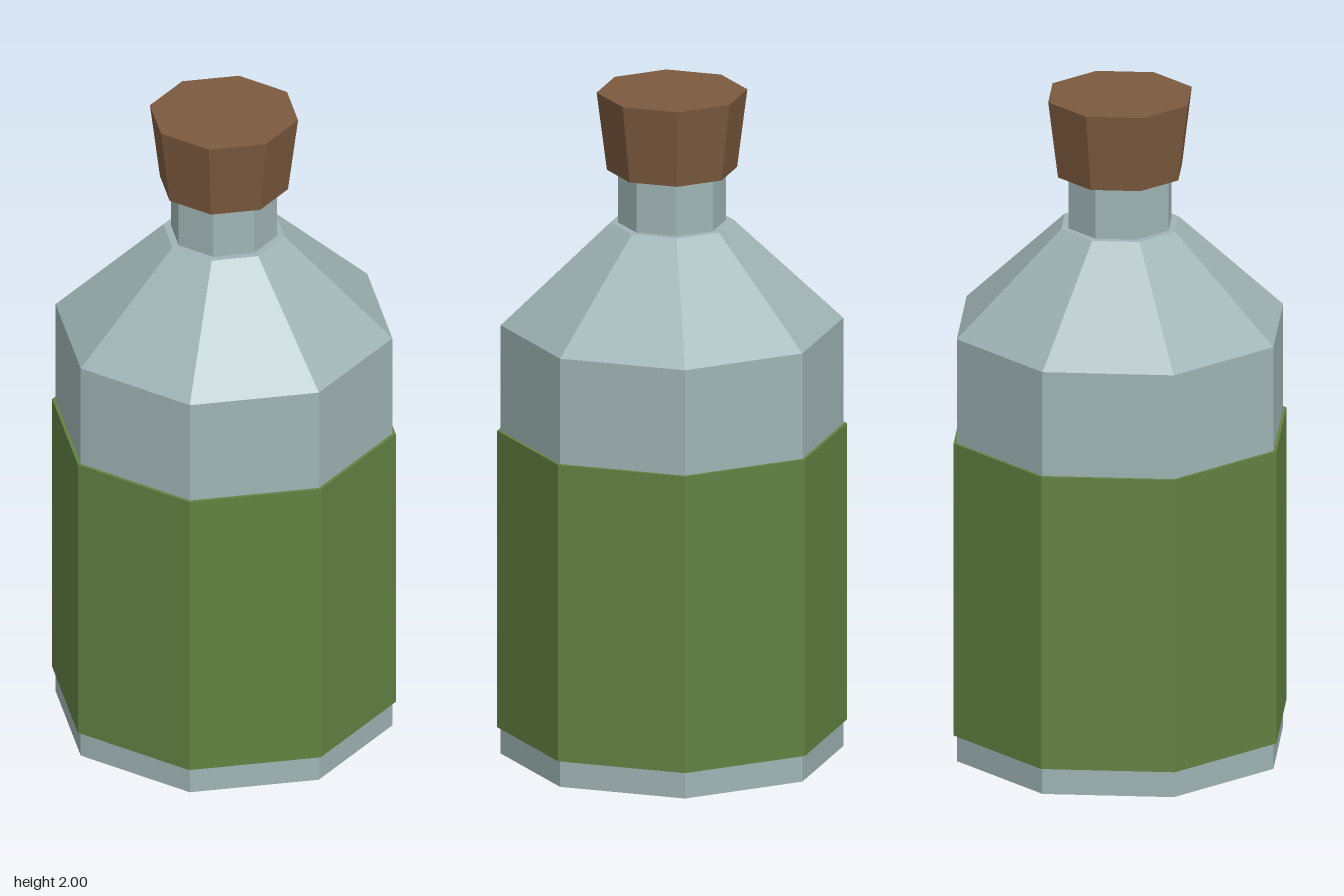
import * as THREE from 'three';

const SIDES = 8;

function material(name, color) {
  const m = new THREE.MeshStandardMaterial({ color, flatShading: true });
  m.name = name;
  return m;
}

export function createModel() {
  const glass = material('glass', 0xa0b4b5);
  const label = material('label green', 0x638142);
  const cork = material('cork brown', 0x7c5a3e);

  const bottle = new THREE.Group();
  bottle.name = 'bottle';

  // Eight-sided section between two heights, with a flat side facing the front
  function section(name, mat, rBottom, rTop, y0, y1) {
    const geo = new THREE.CylinderGeometry(rTop, rBottom, y1 - y0, SIDES);
    geo.rotateY(Math.PI / SIDES);
    geo.translate(0, (y0 + y1) / 2, 0);
    const mesh = new THREE.Mesh(geo, mat);
    mesh.name = name;
    bottle.add(mesh);
  }

  // Glass body, sloping shoulder and narrow neck
  section('body', glass, 0.5, 0.5, 0, 1.3);
  section('shoulder', glass, 0.5, 0.18, 1.3, 1.605);
  section('neck', glass, 0.158, 0.158, 1.6, 1.78);

  // Band wrapped around the body
  section('label', label, 0.51, 0.51, 0.08, 0.98);

  // Stopper, wider at the top
  section('cork', cork, 0.19, 0.22, 1.765, 2);

  return bottle;
}
